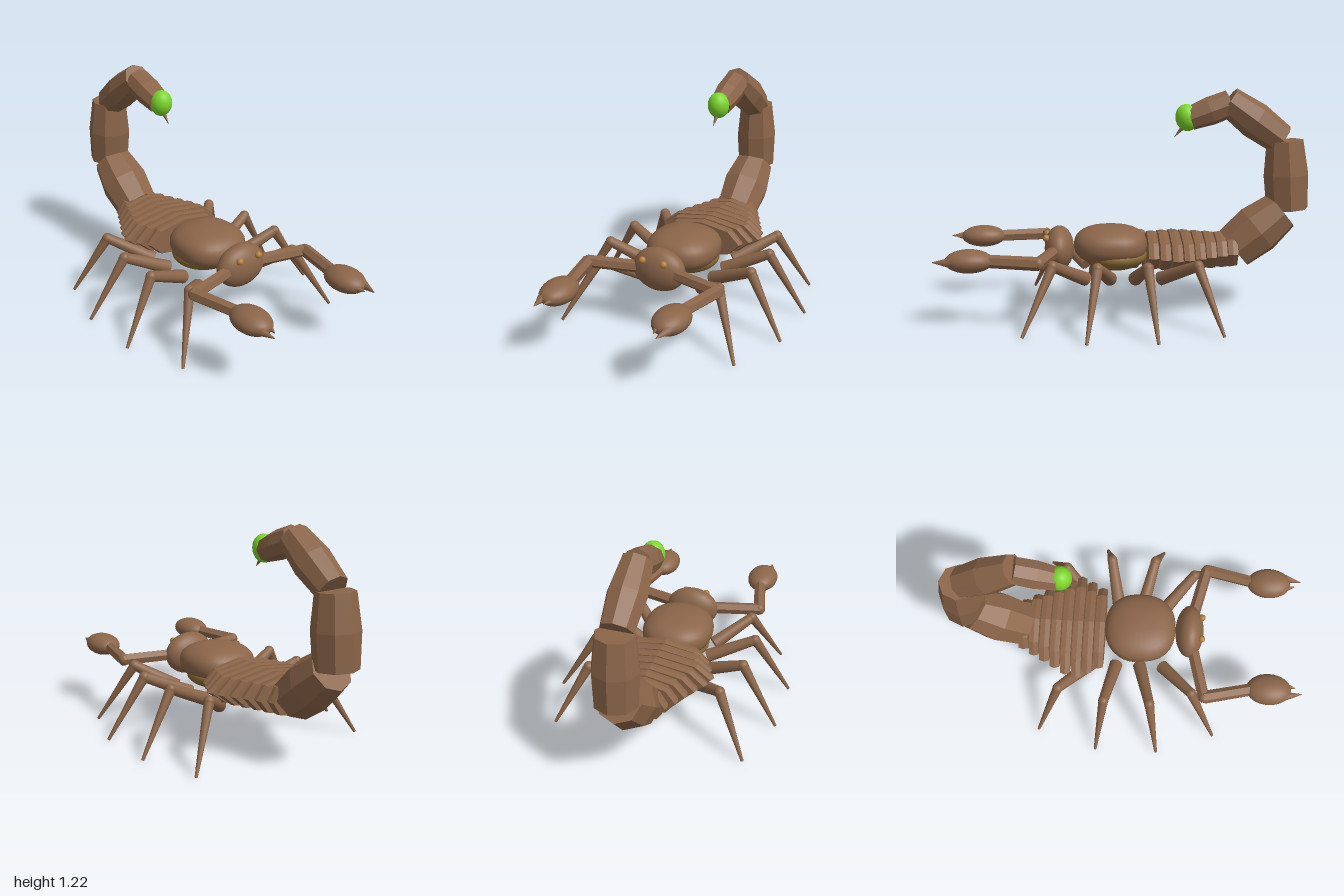
import * as THREE from 'three';

const mat = (name, color, opts = {}) => {
  const m = new THREE.MeshStandardMaterial({ color, ...opts });
  m.name = name;
  return m;
};
const V = (x, y, z) => new THREE.Vector3(x, y, z);
const UP = V(0, 1, 0);

export function createModel() {
  const root = new THREE.Group();
  root.name = 'scorpion';
  const brown = mat('brown shell', 0x8b6549);
  const flatBrown = brown;
  const gold = mat('ochre belly', 0x8a6a35);
  const amber = mat('amber eye', 0xb07f3c);
  const green = mat('venom green', 0x7dd62c);

  const add = (parent, name, geo, m) => {
    const mesh = new THREE.Mesh(geo, m);
    mesh.name = name;
    parent.add(mesh);
    return mesh;
  };

  // Smooth ellipsoid; power below 1 squares it off slightly
  const ellipsoid = (parent, name, m, c, r, power = 1) => {
    const g = new THREE.SphereGeometry(1, 32, 22);
    if (power !== 1) {
      const p = g.attributes.position;
      const e = 2 / power;
      for (let i = 0; i < p.count; i++) {
        const v = V(0, 0, 0).fromBufferAttribute(p, i);
        const k = Math.pow(Math.abs(v.x) ** e + Math.abs(v.y) ** e + Math.abs(v.z) ** e, -1 / e);
        p.setXYZ(i, v.x * k, v.y * k, v.z * k);
      }
      g.computeVertexNormals();
    }
    g.scale(...r);
    const mesh = add(parent, name, g, m);
    mesh.position.copy(c);
    return mesh;
  };

  // Tapered rod between two points
  const rod = (parent, name, m, a, b, ra, rb, sides = 12, flat = false) => {
    const d = b.clone().sub(a);
    let g = new THREE.CylinderGeometry(rb, ra, d.length(), sides);
    if (flat) {
      g = g.toNonIndexed();
      g.computeVertexNormals();
    }
    const mesh = add(parent, name, g, m);
    mesh.position.copy(a).add(b).multiplyScalar(0.5);
    mesh.quaternion.setFromUnitVectors(UP, d.normalize());
    return mesh;
  };

  // Eight-sided barrel plate lying in the x = 0 plane, with a fuller middle ring
  const barrel = (name, a, b, ra, rm, rb, sx = 1) => {
    const d = b.clone().sub(a);
    const h = d.length() / 2;
    const profile = [[0, -h], [ra, -h], [rm, 0], [rb, h], [0, h]].map(p => new THREE.Vector2(...p));
    const g = new THREE.LatheGeometry(profile, 8).toNonIndexed();
    g.scale(sx, 1, 1);
    g.computeVertexNormals();
    const mesh = add(root, name, g, flatBrown);
    mesh.position.copy(a).add(b).multiplyScalar(0.5);
    mesh.rotation.x = Math.atan2(d.z, d.y);
  };

  // Thorax, belly and head
  ellipsoid(root, 'thorax', brown, V(0, 0.375, 0.085), [0.195, 0.104, 0.2], 0.84);
  ellipsoid(root, 'belly', gold, V(0, 0.315, 0.06), [0.185, 0.08, 0.175]);
  ellipsoid(root, 'head', brown, V(0, 0.355, 0.365), [0.15, 0.12, 0.08]);

  // Abdomen plates
  [0.245, 0.28, 0.31, 0.29, 0.255, 0.22, 0.187, 0.152].forEach((w, i) => {
    const z = -0.115 - i * 0.0615;
    const r = 0.1;
    barrel('abdomenPlate', V(0, 0.342, z), V(0, 0.342, z - 0.054), r * 0.96, r, r * 0.96, w / r);
  });

  // Tail segments: start, end, three radii
  const tail = [
    [V(0, 0.348, -0.594), V(0, 0.556, -0.85), 0.125, 0.142, 0.115],
    [V(0, 0.567, -0.882), V(0, 0.941, -0.861), 0.113, 0.122, 0.1],
    [V(0, 0.945, -0.84), V(0, 1.155, -0.55), 0.085, 0.1, 0.08],
    [V(0, 1.14, -0.56), V(0, 1.06, -0.345), 0.074, 0.077, 0.064],
  ];
  for (const t of tail) barrel('tailSegment', ...t);

  // Venom bulb and sting
  const bulb = ellipsoid(root, 'venomBulb', green, V(0, 1.065, -0.328), [0.06, 0.073, 0.062]);
  bulb.rotation.x = 0.2;
  rod(root, 'sting', brown, V(0, 1.02, -0.312), V(0, 0.962, -0.262), 0.015, 0.001, 10);

  // Legs: hip z, knee, foot
  const legs = [
    [0.22, [0.355, 0.335, 0.385], [0.515, 0.008, 0.535]],
    [0.09, [0.43, 0.34, 0.155], [0.63, 0.008, 0.21]],
    [-0.045, [0.425, 0.34, -0.1], [0.63, 0.008, -0.143]],
    [-0.18, [0.365, 0.335, -0.36], [0.53, 0.008, -0.48]],
  ];

  for (const s of [1, -1]) {
    const side = s > 0 ? 'left' : 'right';
    const P = (x, y, z) => V(s * x, y, z);

    ellipsoid(root, side + 'Eye', amber, P(0.063, 0.42, 0.432), [0.019, 0.019, 0.019]);

    for (const [hz, k, f] of legs) {
      const leg = new THREE.Group();
      leg.name = side + 'Leg';
      root.add(leg);
      rod(leg, 'upperLeg', brown, P(0.175, 0.222, hz), P(...k), 0.038, 0.028);
      ellipsoid(leg, 'knee', brown, P(...k), [0.029, 0.029, 0.029]);
      rod(leg, 'lowerLeg', brown, P(...k), P(...f), 0.028, 0.008);
    }

    // Pincer arm
    const arm = new THREE.Group();
    arm.name = side + 'PincerArm';
    root.add(arm);
    const elbow = P(0.382, 0.355, 0.455);
    rod(arm, 'upperArm', flatBrown, P(0.1, 0.355, 0.385), elbow, 0.034, 0.034, 6, true);
    rod(arm, 'forearm', flatBrown, elbow, P(0.318, 0.357, 0.74), 0.036, 0.034, 6, true);
    ellipsoid(arm, 'elbow', brown, elbow, [0.03, 0.034, 0.03]);
    ellipsoid(arm, 'claw', brown, P(0.318, 0.357, 0.815), [0.088, 0.061, 0.125]);
    rod(arm, 'outerFinger', brown, P(0.355, 0.357, 0.885), P(0.336, 0.355, 1.0), 0.032, 0.002, 8);
    rod(arm, 'innerFinger', brown, P(0.283, 0.357, 0.885), P(0.305, 0.355, 0.965), 0.024, 0.002, 8);
  }
  return root;
}
